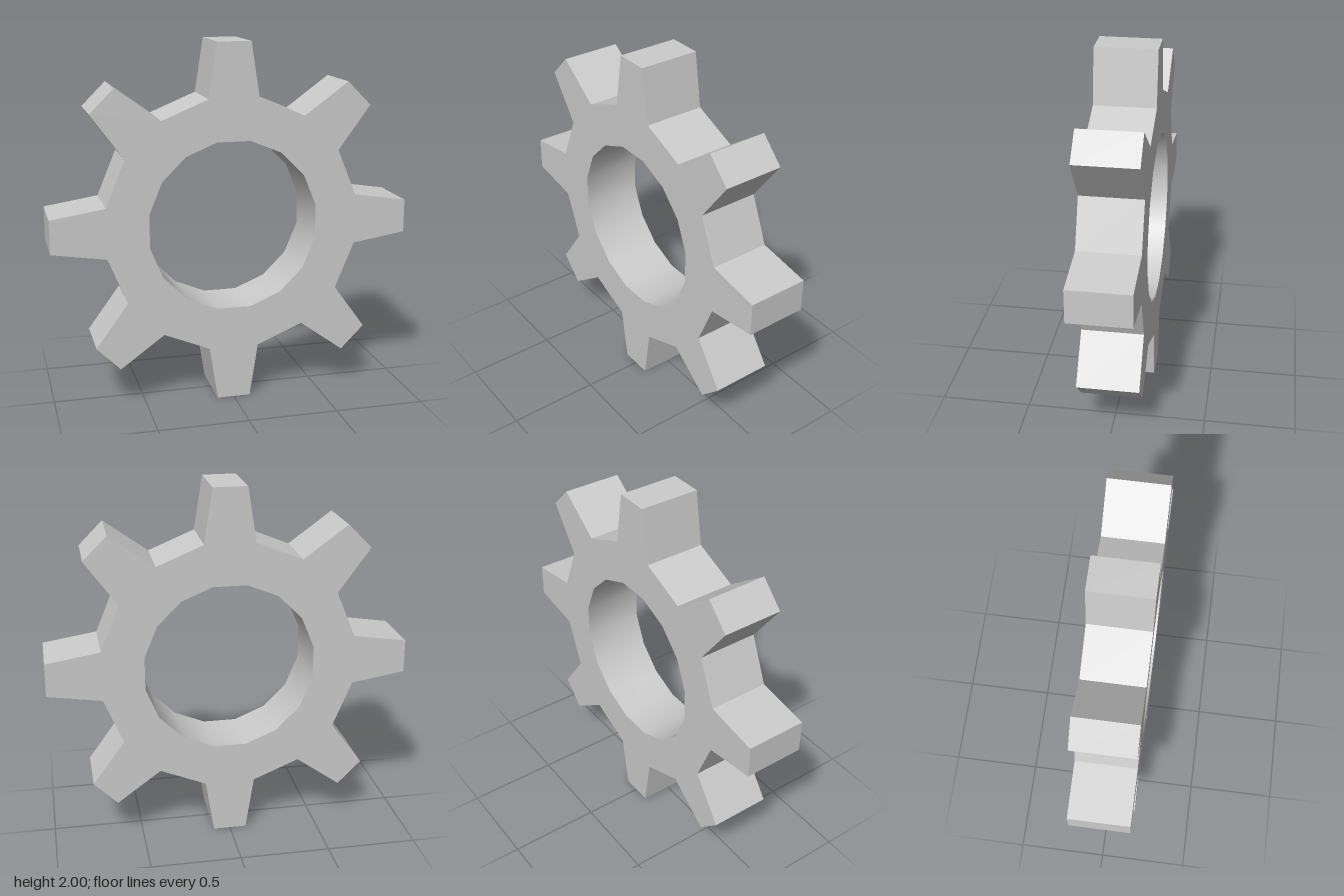
import * as THREE from 'three';
import { toCreasedNormals } from 'three/addons/utils/BufferGeometryUtils.js';

const TEETH = 8;
const DEPTH = 0.336;
const BORE_RADIUS = 0.477;
const BORE_SIDES = 16;
const TIP = { radius: 1.0, halfWidth: 0.093 };
const ROOT = { radius: 0.7, halfWidth: 0.14 };

// Tapered teeth joined by straight valleys
function gearOutline() {
  const tooth = [
    [ROOT.radius, -ROOT.halfWidth],
    [TIP.radius, -TIP.halfWidth],
    [TIP.radius, TIP.halfWidth],
    [ROOT.radius, ROOT.halfWidth],
  ];
  const origin = new THREE.Vector2();
  const points = [];
  for (let i = 0; i < TEETH; i++) {
    const angle = (i / TEETH) * Math.PI * 2;
    for (const [x, y] of tooth) points.push(new THREE.Vector2(x, y).rotateAround(origin, angle));
  }
  return points;
}

// Faceted centre hole, with its flats facing the teeth
function boreOutline() {
  const points = [];
  for (let i = 0; i < BORE_SIDES; i++) {
    const angle = ((i + 0.5) / BORE_SIDES) * Math.PI * 2;
    points.push(new THREE.Vector2(Math.cos(angle), Math.sin(angle)).multiplyScalar(BORE_RADIUS));
  }
  return points;
}

export function createModel() {
  const shape = new THREE.Shape(gearOutline());
  shape.holes.push(new THREE.Path(boreOutline()));

  let geometry = new THREE.ExtrudeGeometry(shape, { depth: DEPTH, bevelEnabled: false });
  geometry.translate(0, 0, -DEPTH / 2);
  // Smooth bore wall, sharp teeth
  geometry = toCreasedNormals(geometry, THREE.MathUtils.degToRad(30));

  const gear = new THREE.Mesh(geometry, new THREE.MeshStandardMaterial({ color: 0xcccccc }));
  gear.name = 'gearWheel';
  gear.position.y = TIP.radius;

  const group = new THREE.Group();
  group.name = 'gear';
  group.add(gear);
  return group;
}
